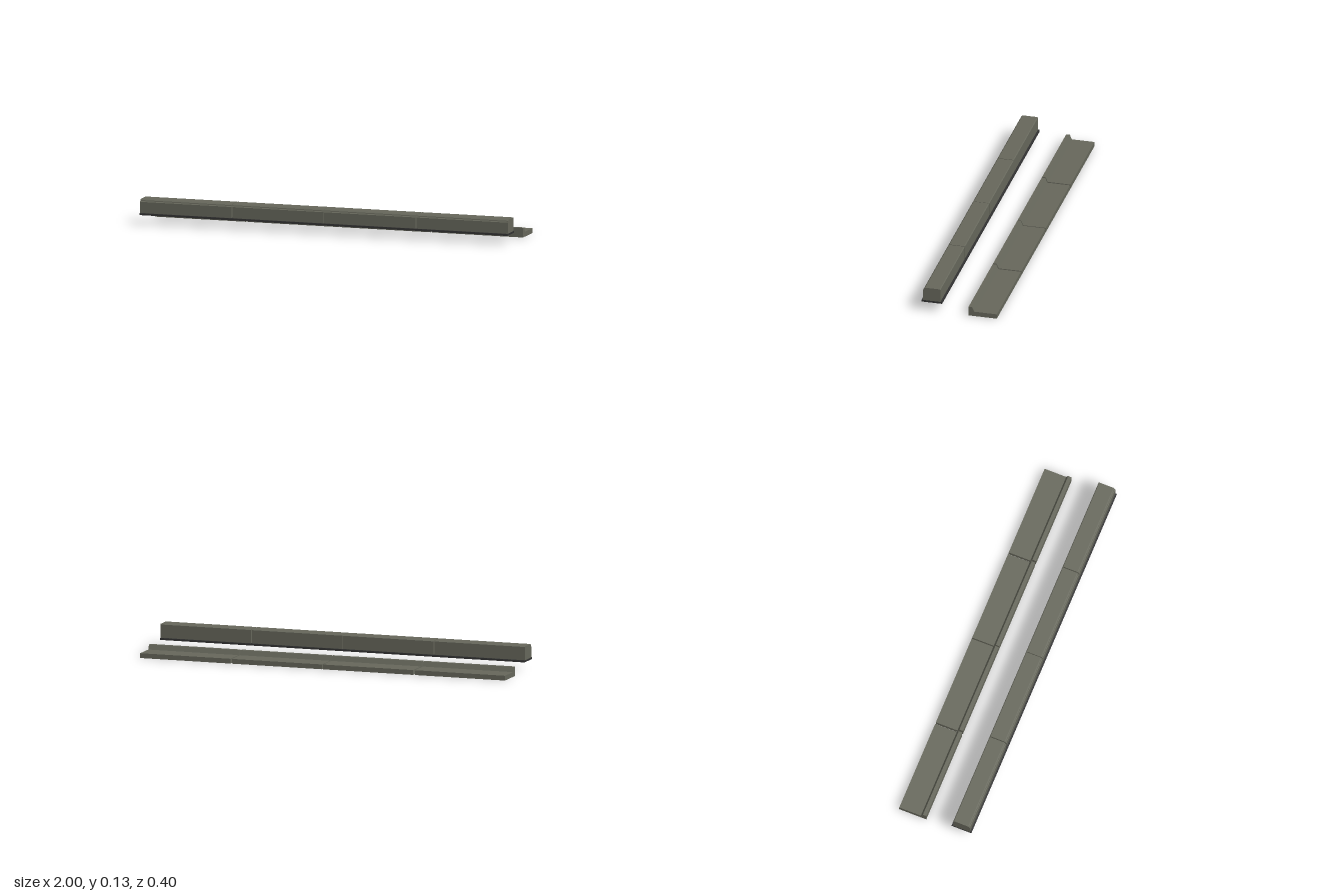
import * as THREE from 'three';

// Extrudes a [z, y] cross-section along x, centred on x = 0
function prism(profile, length) {
  const shape = new THREE.Shape(profile.map(([z, y]) => new THREE.Vector2(-z, y)));
  const geo = new THREE.ExtrudeGeometry(shape, { depth: length, bevelEnabled: false });
  geo.translate(0, 0, -length / 2);
  geo.rotateY(Math.PI / 2);
  return geo;
}

export function createModel() {
  const group = new THREE.Group();
  const concrete = new THREE.MeshStandardMaterial({ color: 0x66675b });
  concrete.name = 'concrete';
  const rubber = new THREE.MeshStandardMaterial({ color: 0x333333 });
  rubber.name = 'dark base';

  const add = (name, geo, mat, x = 0) => {
    const mesh = new THREE.Mesh(geo, mat);
    mesh.name = name;
    mesh.position.x = x;
    group.add(mesh);
  };

  // Tall kerb block with a stepped front edge and a small back chamfer
  const kerb = [
    [0.192, 0.058], [0.192, 0.116], [0.188, 0.120], [0.187, 0.125], [0.182, 0.13],
    [0.104, 0.13], [0.1, 0.127], [0.1, 0.058],
  ];
  // Low slab with a raised front lip
  const slab = [
    [-0.05, 0], [-0.05, 0.05], [-0.069, 0.05], [-0.08, 0.025], [-0.2, 0.025], [-0.2, 0],
  ];

  // Four lengths of each run, separated by narrow joints
  const kerbGeo = prism(kerb, 0.497);
  const slabGeo = prism(slab, 0.494);
  for (let i = 0; i < 4; i++) {
    const x = -0.75 + i * 0.5;
    const outward = Math.sign(x) * (i === 0 || i === 3 ? 1 : 0);
    add('kerbBlock' + (i + 1), kerbGeo, concrete, x + outward * 0.0015);
    add('gutterSlab' + (i + 1), slabGeo, concrete, x + outward * 0.003);
  }

  // Continuous strip under the kerb
  const base = new THREE.BoxGeometry(2, 0.01, 0.109);
  base.translate(0, 0.053, 0.1455);
  add('kerbBase', base, rubber);

  return group;
}
